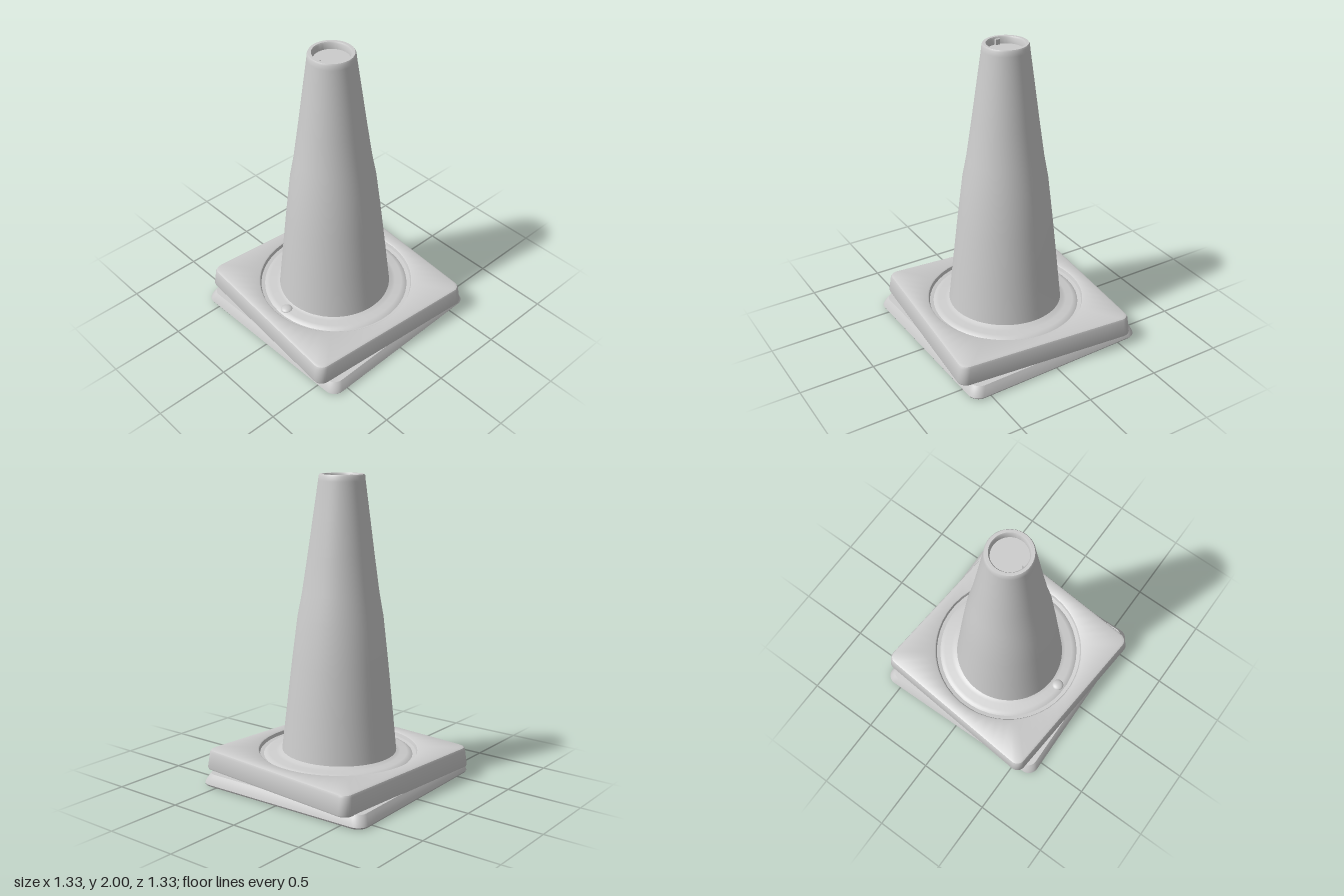
import * as THREE from 'three';
import { toCreasedNormals } from 'three/addons/utils/BufferGeometryUtils.js';

const material = new THREE.MeshStandardMaterial({ color: 0xcccccc });

function part(name, geometry, parent) {
  const mesh = new THREE.Mesh(geometry, material);
  mesh.name = name;
  parent.add(mesh);
  return mesh;
}

// Unit outline of a rounded square, counterclockwise seen from above
function squareOutline(half, radius, arcSteps = 8, edgeSteps = 12) {
  const pts = [];
  const c = half - radius;
  for (let k = 0; k < 4; k++) {
    const turn = k * Math.PI / 2;
    const add = (x, y) => pts.push(new THREE.Vector2(x, y).rotateAround(new THREE.Vector2(), turn));
    for (let i = 0; i < edgeSteps; i++) add(half, -c + 2 * c * i / edgeSteps);
    for (let i = 0; i < arcSteps; i++) {
      const a = i / arcSteps * Math.PI / 2;
      add(c + radius * Math.cos(a), c + radius * Math.sin(a));
    }
  }
  return pts.map(p => p.divideScalar(half));
}

// Loft through rings: [size, y, 's' for rounded square or 'c' for circle]
function loft(rings, cornerRadius) {
  const outline = squareOutline(0.63, cornerRadius);
  const n = outline.length;
  const pos = [], index = [];
  rings.forEach(([size, y, kind], i) => {
    outline.forEach((p, j) => {
      const q = kind === 'c' ? p.clone().normalize() : p;
      pos.push(q.x * size, y, -q.y * size);
      if (i === rings.length - 1) return;
      const a = i * n + j, b = i * n + (j + 1) % n;
      index.push(a, b, b + n, a, b + n, a + n);
    });
  });
  const g = new THREE.BufferGeometry();
  g.setAttribute('position', new THREE.Float32BufferAttribute(pos, 3));
  g.setIndex(index);
  return toCreasedNormals(g, 0.6);
}

export function createModel() {
  const model = new THREE.Group();
  model.name = 'trafficCone';

  // Lower base: hollow underneath, with a domed recess in the middle
  const lower = new THREE.Group();
  lower.name = 'lowerBase';
  lower.rotation.y = 0.024;
  model.add(lower);
  part('lowerPlate', loft([
    [0.001, 0.18, 'c'], [0.3, 0.18, 'c'], [0.32, 0.17, 'c'], [0.4, 0.065, 'c'], [0.42, 0.055, 'c'],
    [0.6, 0.05, 's'], [0.612, 0.008, 's'], [0.62, 0, 's'], [0.634, 0.002, 's'], [0.641, 0.014, 's'],
    [0.634, 0.035, 's'], [0.62, 0.062, 's'], [0.61, 0.078, 's'], [0.5, 0.08, 's'],
  ], 0.07), lower);

  // Diagonal ribs under the corners
  for (let k = 0; k < 4; k++) {
    const a = Math.PI / 4 + k * Math.PI / 2;
    const rib = part('cornerRib', new THREE.BoxGeometry(0.32, 0.045, 0.035), lower);
    rib.position.set(0.62 * Math.cos(a), 0.035, -0.62 * Math.sin(a));
    rib.rotation.y = a;
  }

  // Upper base: tapered slab, twisted, with a circular sunken ring on top
  const upper = new THREE.Group();
  upper.name = 'upperBase';
  upper.rotation.set(0, -0.077, 0.006);
  model.add(upper);
  part('upperPlate', loft([
    [0.5, 0.078, 's'], [0.612, 0.074, 's'], [0.622, 0.078, 's'], [0.625, 0.088, 's'],
    [0.614, 0.19, 's'], [0.608, 0.204, 's'], [0.594, 0.211, 's'],
    [0.53, 0.211, 'c'], [0.522, 0.206, 'c'], [0.515, 0.184, 'c'], [0.49, 0.18, 'c'],
    [0.475, 0.19, 'c'], [0.455, 0.195, 'c'], [0.41, 0.196, 'c'], [0.39, 0.201, 'c'], [0.36, 0.215, 'c'],
  ], 0.06), upper);

  // Small round button in the ring
  const button = part('ringButton', new THREE.SphereGeometry(0.04, 24, 8, 0, Math.PI * 2, 0, Math.PI / 2), model);
  button.scale.y = 0.5;
  button.position.set(-0.01, 0.19, 0.44);

  // Cone body, with a raised lip around a shallow cup at the tip
  const profile = [
    [0.379, 0.19], [0.374, 0.23], [0.345, 0.5], [0.312, 0.8], [0.276, 1.1], [0.248, 1.25], [0.212, 1.5],
    [0.182, 1.72], [0.149, 1.96], [0.146, 1.99], [0.14, 2], [0.121, 2], [0.115, 1.99], [0.112, 1.955], [0, 1.955],
  ].map(([r, y]) => new THREE.Vector2(r, y));
  const cone = new THREE.LatheGeometry(profile, 72);
  const p = cone.attributes.position;
  for (let i = 0; i < p.count; i++) { // slight lean
    const t = p.getY(i) / 2;
    p.setX(i, p.getX(i) - 0.015 * t);
    p.setZ(i, p.getZ(i) + 0.009 + 0.011 * t);
  }
  part('coneBody', toCreasedNormals(cone, 0.6), model);

  // Little tab inside the lip
  const tab = part('lipTab', new THREE.BoxGeometry(0.03, 0.035, 0.02), model);
  tab.position.set(-0.02, 1.972, 0.127);

  return model;
}
